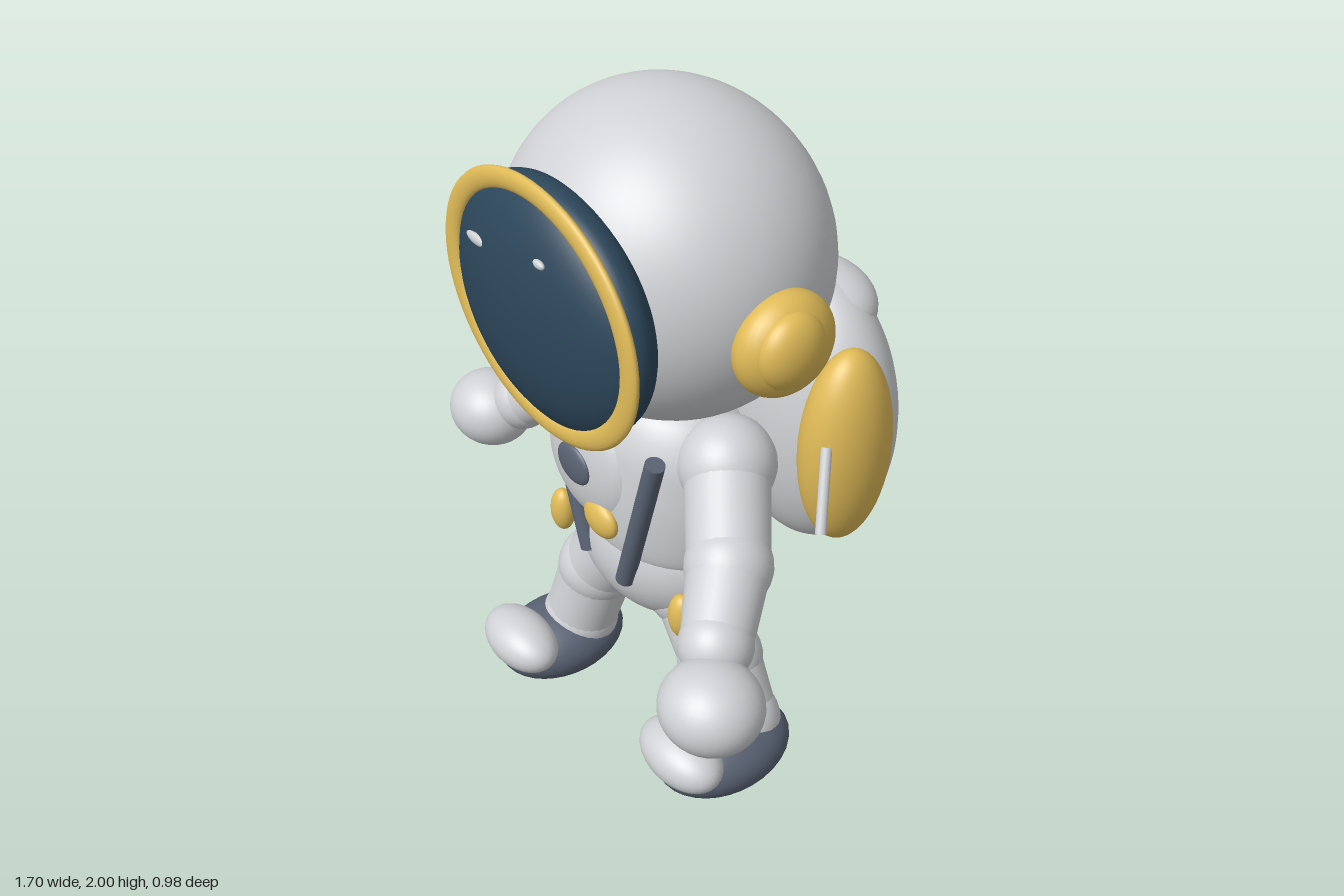
import * as THREE from 'three';

const mat = (name, color) => {
  const m = new THREE.MeshStandardMaterial({ color });
  m.name = name;
  return m;
};

export function createModel() {
  const root = new THREE.Group();
  root.name = 'astronaut';
  const suit = mat('suit grey', 0xcfd1d4);
  const gold = mat('gold', 0xe0bb58);
  const glass = mat('visor blue', 0x2c465a);
  const slate = mat('slate', 0x5a6374);

  const add = (parent, name, geo, material) => {
    const mesh = new THREE.Mesh(geo, material);
    mesh.name = name;
    parent.add(mesh);
    return mesh;
  };

  // Ellipsoid from centre and radii
  const blob = (parent, name, material, c, r, seg = 32) => {
    const mesh = add(parent, name, new THREE.SphereGeometry(1, seg, seg * 0.75), material);
    mesh.position.set(...c);
    mesh.scale.set(...r);
    return mesh;
  };

  // Round bar between two points
  const bar = (parent, name, material, a, b, ra, rb = ra) => {
    const p = new THREE.Vector3(...a), q = new THREE.Vector3(...b);
    const d = q.clone().sub(p);
    const mesh = add(parent, name, new THREE.CylinderGeometry(rb, ra, d.length(), 28), material);
    mesh.position.copy(p).add(q).multiplyScalar(0.5);
    mesh.quaternion.setFromUnitVectors(new THREE.Vector3(0, 1, 0), d.normalize());
    return mesh;
  };

  const part = (name) => {
    const g = new THREE.Group();
    g.name = name;
    root.add(g);
    return g;
  };

  // Helmet with visor, rim and one ear piece
  const head = part('head');
  blob(head, 'helmet', suit, [0, 1.57, -0.03], [0.45, 0.43, 0.41], 56);
  blob(head, 'visor', glass, [0.012, 1.54, 0.31], [0.376, 0.325, 0.133], 56);
  const rim = add(head, 'visorRim', new THREE.TorusGeometry(1, 0.087, 16, 72), gold);
  rim.position.set(0.012, 1.542, 0.36);
  rim.scale.set(0.377, 0.316, 0.17);
  blob(head, 'largeGlint', suit, [-0.155, 1.675, 0.416], [0.042, 0.015, 0.009], 16);
  blob(head, 'smallGlint', suit, [0.12, 1.738, 0.417], [0.021, 0.011, 0.009], 16);
  blob(head, 'earPiece', gold, [0.46, 1.53, -0.03], [0.09, 0.136, 0.14]);
  blob(head, 'earButton', gold, [0.51, 1.545, -0.01], [0.06, 0.1, 0.095]);

  // Torso and hips
  const body = part('body');
  const profile = new THREE.SplineCurve([
    [0.24, 0.70], [0.275, 0.745], [0.29, 0.86], [0.285, 0.98],
    [0.26, 1.09], [0.18, 1.18], [0.001, 1.22],
  ].map(([x, y]) => new THREE.Vector2(x, y))).getPoints(28);
  const torso = add(body, 'torso', new THREE.LatheGeometry(profile, 48), suit);
  torso.position.set(0.015, 0, -0.03);
  torso.scale.z = 0.78;
  blob(body, 'hips', suit, [0.012, 0.675, -0.03], [0.282, 0.23, 0.222], 40);

  // Chest panel, buttons, straps and belt clips
  const gear = part('chestGear');
  blob(gear, 'chestPanel', suit, [-0.065, 0.955, 0.165], [0.175, 0.173, 0.06]);
  blob(gear, 'mainButton', slate, [-0.065, 0.965, 0.22], [0.071, 0.059, 0.018], 24);
  blob(gear, 'smallButton', gold, [-0.125, 1.045, 0.218], [0.027, 0.026, 0.026], 20);
  blob(gear, 'wideButton', gold, [0.025, 0.826, 0.198], [0.068, 0.055, 0.03], 24);
  for (const s of [-1, 1]) {
    bar(gear, 'strap', slate, [s * 0.235, 1.125, 0.175],
      [s > 0 ? 0.1 : -0.065, 0.653, 0.175], 0.027);
    blob(gear, 'beltClip', gold, [0.005 + s * 0.28, 0.627, 0.125], [0.04, 0.07, 0.034], 24);
  }

  // Backpack with side panel, top bump and lever
  const pack = part('backpack');
  blob(pack, 'packShell', suit, [0.26, 1.135, -0.3], [0.28, 0.405, 0.188], 48);
  blob(pack, 'packTop', suit, [0.25, 1.44, -0.33], [0.165, 0.1, 0.13]);
  blob(pack, 'sidePanel', gold, [0.47, 1.14, -0.245], [0.105, 0.287, 0.13], 40);
  bar(pack, 'lever', suit, [0.515, 1.21, -0.14], [0.595, 1.025, -0.065], 0.014);

  // Jointed limb: tapered segments with a soft bulge at each joint
  const limb = (name, points, radii) => {
    const g = part(name);
    points.forEach((p, i) => {
      const bulge = radii[i] * (i ? 1.06 : 1.15);
      blob(g, 'joint', suit, p, [bulge, bulge, bulge]);
      if (i) bar(g, 'segment', suit, points[i - 1], p, radii[i - 1], radii[i]);
    });
    return g;
  };

  // Arms
  const leftArm = limb('leftArm',
    [[0.28, 1.07, -0.02], [0.475, 0.935, 0.125], [0.605, 0.845, 0.265]], [0.113, 0.107, 0.09]);
  blob(leftArm, 'leftGlove', suit, [0.71, 0.78, 0.36], [0.134, 0.112, 0.13]);
  const rightArm = limb('rightArm',
    [[-0.27, 1.07, -0.03], [-0.5, 0.87, -0.025], [-0.62, 0.775, 0.03]], [0.113, 0.093, 0.085]);
  blob(rightArm, 'rightGlove', suit, [-0.72, 0.712, 0.08], [0.133, 0.112, 0.123]);

  // Legs
  limb('leftLeg', [[0.15, 0.58, -0.02], [0.3, 0.42, 0], [0.405, 0.27, 0.01]], [0.12, 0.113, 0.108]);
  limb('rightLeg', [[-0.14, 0.57, -0.02], [-0.255, 0.38, 0.02], [-0.3, 0.17, 0.06]], [0.12, 0.113, 0.108]);

  // Boots with toe caps
  for (const [name, x, y, z] of [['leftBoot', 0.428, 0.228, 0.085], ['rightBoot', -0.315, 0.108, 0.122]]) {
    const boot = part(name);
    blob(boot, 'sole', slate, [x, y, z], [0.146, 0.106, 0.205]);
    blob(boot, 'toeCap', suit, [x, y + 0.06, z + 0.145], [0.143, 0.078, 0.092]);
  }

  return root;
}
